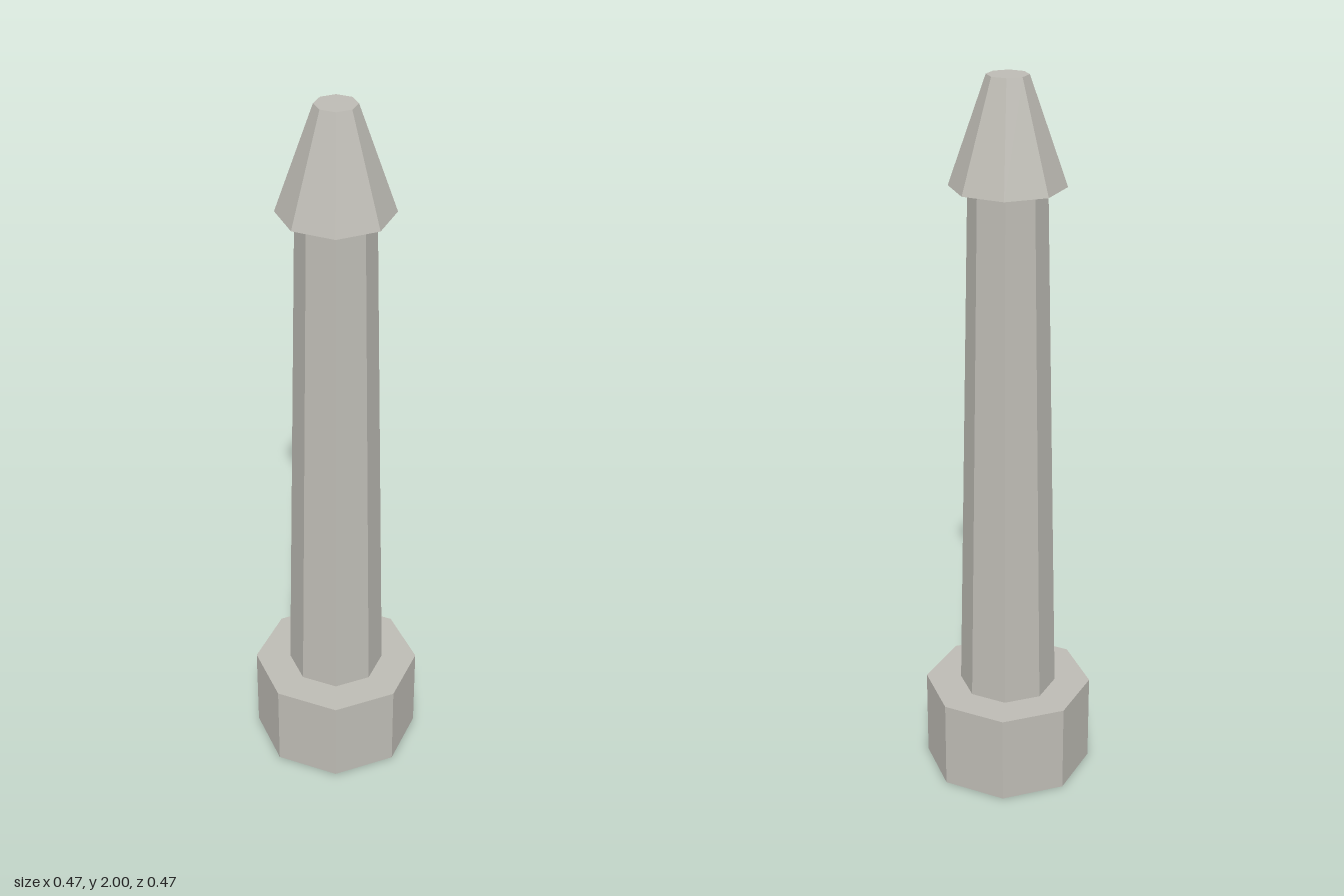
import * as THREE from 'three';

export function createModel() {
  const model = new THREE.Group();
  const stone = new THREE.MeshStandardMaterial({ color: 0xbdbbb4, flatShading: true });
  stone.name = 'paleGreyStone';

  // Eight-sided section standing between two heights
  function addSection(name, topRadius, bottomRadius, y0, y1) {
    const geometry = new THREE.CylinderGeometry(topRadius, bottomRadius, y1 - y0, 8);
    const mesh = new THREE.Mesh(geometry, stone);
    mesh.name = name;
    mesh.position.y = (y0 + y1) / 2;
    model.add(mesh);
  }

  addSection('base', 0.236, 0.236, 0, 0.255);
  addSection('taperedShaft', 0.104, 0.136, 0.255, 1.715);
  addSection('cap', 0.055, 0.154, 1.715, 2);

  return model;
}
